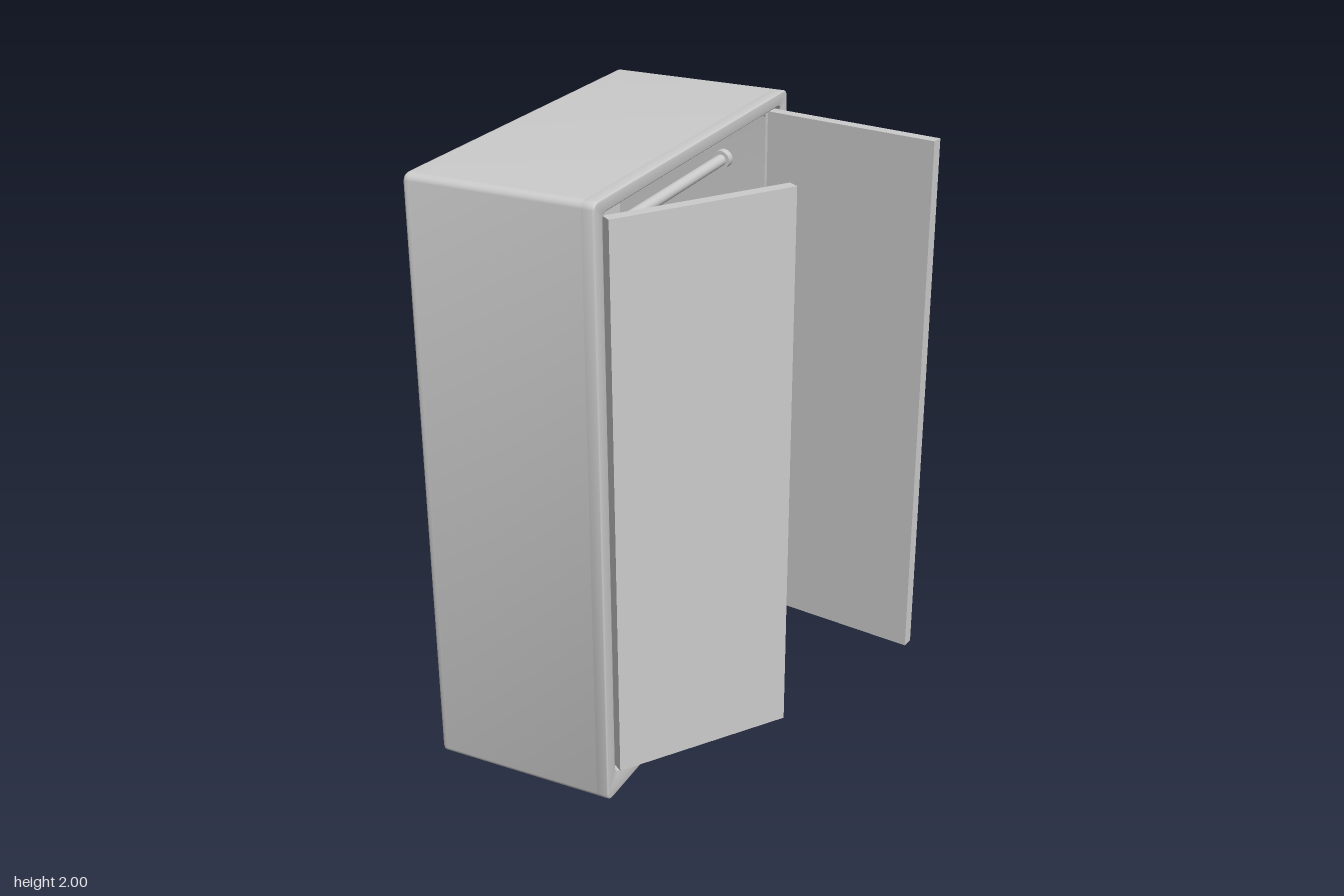
import * as THREE from 'three';
import { toCreasedNormals } from 'three/addons/utils/BufferGeometryUtils.js';

const material = new THREE.MeshStandardMaterial({ color: 0xcccccc });

function add(group, name, geometry, x = 0, y = 0, z = 0) {
  const mesh = new THREE.Mesh(geometry, material);
  mesh.name = name;
  mesh.position.set(x, y, z);
  group.add(mesh);
  return mesh;
}

// Rounded rectangle, centred on z, between two heights
function roundedRect(path, halfWidth, y0, y1, r) {
  const w = halfWidth;
  path.moveTo(-w + r, y0);
  path.lineTo(w - r, y0);
  path.quadraticCurveTo(w, y0, w, y0 + r);
  path.lineTo(w, y1 - r);
  path.quadraticCurveTo(w, y1, w - r, y1);
  path.lineTo(-w + r, y1);
  path.quadraticCurveTo(-w, y1, -w, y1 - r);
  path.lineTo(-w, y0 + r);
  path.quadraticCurveTo(-w, y0, -w + r, y0);
  return path;
}

// Slice of the cabinet from x0 to x1, with an optional opening and softened ends
function slice(x0, x1, opening, bevel = 0) {
  const shape = roundedRect(new THREE.Shape(), 0.663, 0, 2, 0.03);
  if (opening) shape.holes.push(roundedRect(new THREE.Path(), ...opening));
  const geometry = new THREE.ExtrudeGeometry(shape, {
    depth: x1 - x0 - 2 * bevel,
    curveSegments: 6,
    bevelEnabled: bevel > 0,
    bevelSize: bevel,
    bevelThickness: bevel,
    bevelOffset: -bevel,
    bevelSegments: 3,
  });
  geometry.translate(0, 0, x0 + bevel).rotateY(Math.PI / 2);
  return toCreasedNormals(geometry, 0.6);
}

export function createModel() {
  const model = new THREE.Group();
  model.name = 'wardrobe';

  // Cabinet: back, walls, and front frame with a rebate for the doors
  add(model, 'backPanel', slice(-0.605, -0.572, null, 0.01));
  add(model, 'cabinetWalls', slice(-0.59, -0.02, [0.58, 0.12, 1.93, 0.01]));
  add(model, 'frontFrame', slice(-0.026, 0.02, [0.612, 0.08, 1.957, 0.025], 0.005));

  // Two doors standing open at different angles
  const doors = [
    ['rightDoor', 0.2, 0.358, 0.96],
    ['leftDoor', 0.3, -0.542, -0.138],
  ];
  for (const [name, x, z, angle] of doors) {
    const door = add(model, name, new THREE.BoxGeometry(0.61, 1.845, 0.04), x, 1.0225, z);
    door.rotation.y = angle;
  }

  // Clothes rail with a round socket at each end
  const rail = new THREE.CylinderGeometry(0.02, 0.02, 1.16, 24).rotateX(Math.PI / 2);
  add(model, 'clothesRail', rail, -0.17, 1.76, 0);
  for (const side of [-1, 1]) {
    const socket = new THREE.CylinderGeometry(0.032, 0.032, 0.03, 24).rotateX(Math.PI / 2);
    add(model, 'railSocket', socket, -0.17, 1.76, side * 0.566);
  }

  return model;
}
